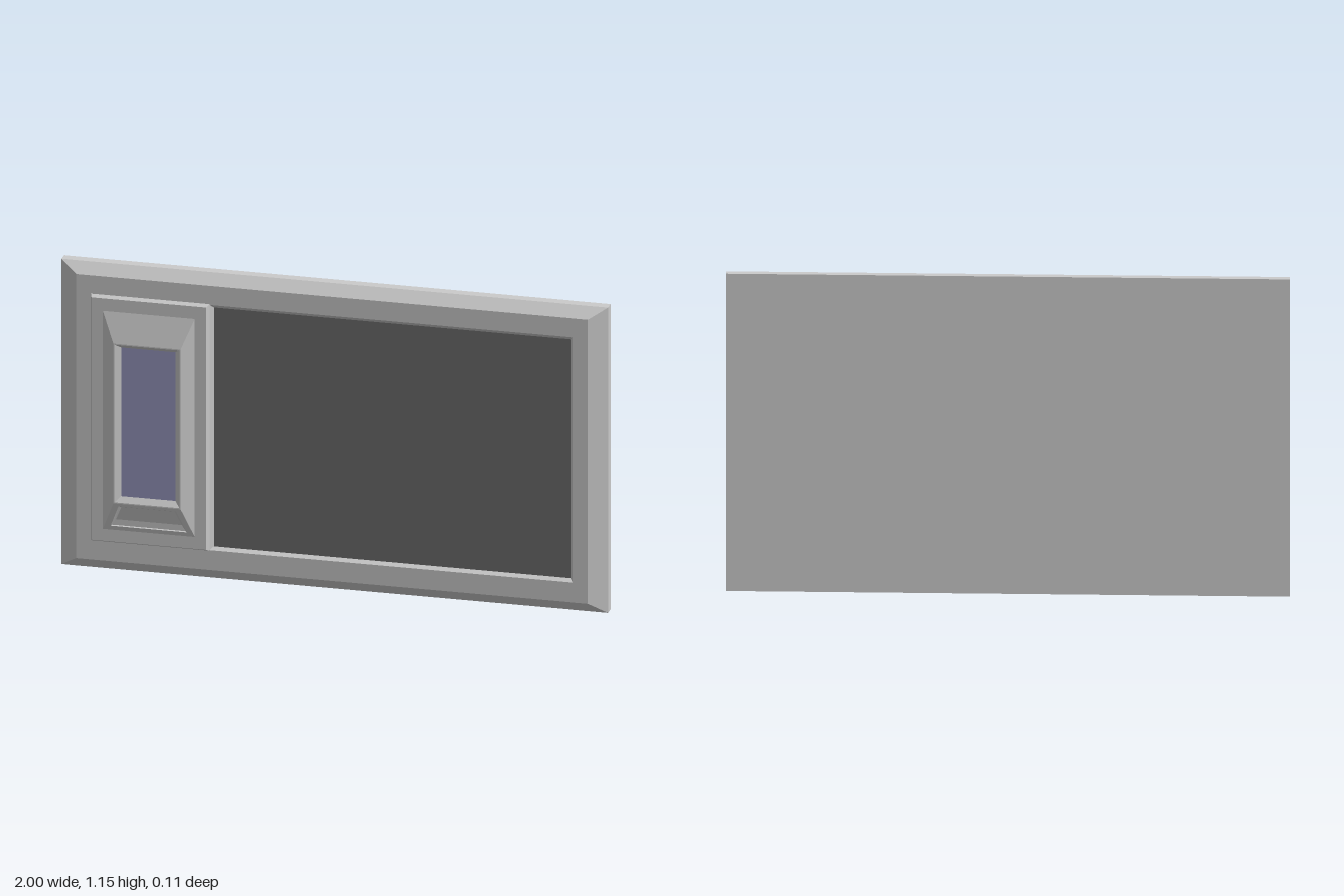
import * as THREE from 'three';

const grey = new THREE.MeshStandardMaterial({ color: 0xcccccc, flatShading: true });
const dark = new THREE.MeshStandardMaterial({ color: 0x6d6d6d, flatShading: true });
const blue = new THREE.MeshStandardMaterial({ color: 0x9696bd, flatShading: true });

// Four corners, counter-clockwise as seen from the front
const rect = (x0, x1, y0, y1, z) => [[x0, y0, z], [x1, y0, z], [x1, y1, z], [x0, y1, z]];

// Joins successive four-cornered loops with flat sides; sides lists which of
// bottom, right, top, left to build (0..3)
function loft(name, loops, { front = false, back = false, sides = [0, 1, 2, 3], material = grey } = {}) {
  const positions = [];
  const quad = (a, b, c, d) => positions.push(...a, ...b, ...c, ...a, ...c, ...d);
  for (let k = 0; k + 1 < loops.length; k++) {
    const a = loops[k], b = loops[k + 1];
    for (const i of sides) {
      const j = (i + 1) % 4;
      quad(a[i], a[j], b[j], b[i]);
    }
  }
  if (front) quad(...loops[loops.length - 1]);
  if (back) quad(...[...loops[0]].reverse());
  const geometry = new THREE.BufferGeometry();
  geometry.setAttribute('position', new THREE.Float32BufferAttribute(positions, 3));
  geometry.computeVertexNormals();
  const mesh = new THREE.Mesh(geometry, material);
  mesh.name = name;
  return mesh;
}

export function createModel() {
  const model = new THREE.Group();
  model.name = 'wallPanel';

  // Bevelled slab with the screen recess sunk into its front
  const screenRect = rect(-0.437, 0.868, 0.126, 1.03, 0.002);
  model.add(loft('frame', [
    rect(-1, 1, 0, 1.155, -0.055),
    rect(-1, 1, 0, 1.155, -0.018),
    rect(-0.935, 0.935, 0.04, 1.115, 0.015),
    rect(-0.45, 0.88, 0.115, 1.043, 0.015),
    screenRect,
  ], { back: true }));
  model.add(loft('screen', [screenRect], { front: true, material: dark }));

  // Raised plate to the side of the screen
  model.add(loft('sidePlate', [
    rect(-0.882, -0.45, 0.113, 1.046, 0.015),
    rect(-0.876, -0.458, 0.12, 1.037, 0.028),
  ], { front: true }));

  // Sloped housing; its bottom slope is built separately with a recess
  const base = rect(-0.835, -0.5, 0.165, 0.99, 0.028);
  const top = rect(-0.79, -0.545, 0.275, 0.88, 0.055);
  const windowRect = rect(-0.765, -0.567, 0.3, 0.863, 0.042);
  const housing = new THREE.Group();
  housing.name = 'housing';
  housing.add(loft('housingSlopes', [base, top], { sides: [1, 2, 3] }));
  housing.add(loft('windowRim', [top, rect(-0.786, -0.549, 0.279, 0.876, 0.055), windowRect]));
  housing.add(loft('window', [windowRect], { front: true, material: blue }));

  // Trapezoid on the bottom slope, sunk below it by depth
  const slopeZ = (y) => 0.028 + (0.027 * (y - 0.165)) / 0.11;
  const onSlope = (b0, b1, t0, t1, y0, y1, depth = 0) => [
    [b0, y0, slopeZ(y0) - depth], [b1, y0, slopeZ(y0) - depth],
    [t1, y1, slopeZ(y1) - depth], [t0, y1, slopeZ(y1) - depth],
  ];
  housing.add(loft('bottomSlope', [
    onSlope(-0.835, -0.5, -0.79, -0.545, 0.165, 0.275),
    onSlope(-0.806, -0.528, -0.772, -0.562, 0.181, 0.264),
    onSlope(-0.795, -0.539, -0.764, -0.57, 0.187, 0.259, 0.01),
  ], { front: true }));
  model.add(housing);

  return model;
}
